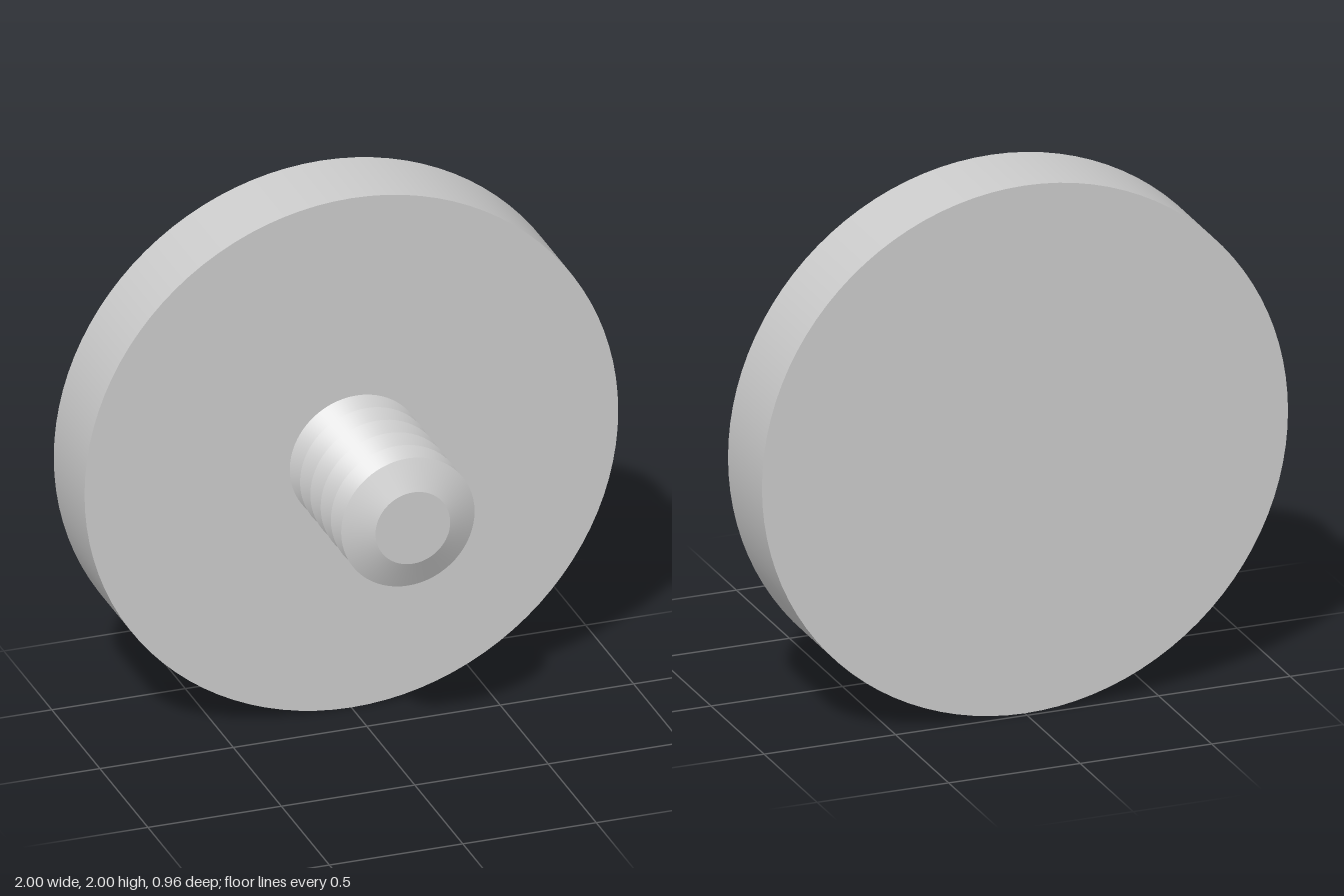
import * as THREE from 'three';
import { toCreasedNormals } from 'three/addons/utils/BufferGeometryUtils.js';

const CENTRE_Y = 1;
const PLATE_BACK = -0.48, PLATE_FRONT = -0.16;
const RIDGE_R = 0.25, VALLEY_R = 0.197, PITCH = 0.107;

export function createModel() {
  const group = new THREE.Group();
  group.name = 'thumbScrew';
  const steel = new THREE.MeshStandardMaterial({ color: 0xcccccc });
  steel.name = 'steel';

  const add = (name, geometry, z) => {
    geometry.rotateX(Math.PI / 2); // axis of revolution onto z
    const mesh = new THREE.Mesh(geometry, steel);
    mesh.name = name;
    mesh.position.set(0, CENTRE_Y, z);
    group.add(mesh);
  };

  // Flat round head
  const depth = PLATE_FRONT - PLATE_BACK;
  add('head', new THREE.CylinderGeometry(1, 1, depth, 96), (PLATE_BACK + PLATE_FRONT) / 2);

  // Shank with V-shaped thread ridges and a chamfered tip
  const profile = [];
  for (let i = 0; i < 6; i++) {
    const ridge = (i - 1) * PITCH;
    profile.push(new THREE.Vector2(VALLEY_R, ridge - PITCH / 2));
    profile.push(new THREE.Vector2(RIDGE_R, ridge));
  }
  profile.push(new THREE.Vector2(0.14, 0.48), new THREE.Vector2(0, 0.48));
  add('threadedShank', toCreasedNormals(new THREE.LatheGeometry(profile, 64), 0.3), 0);

  return group;
}
